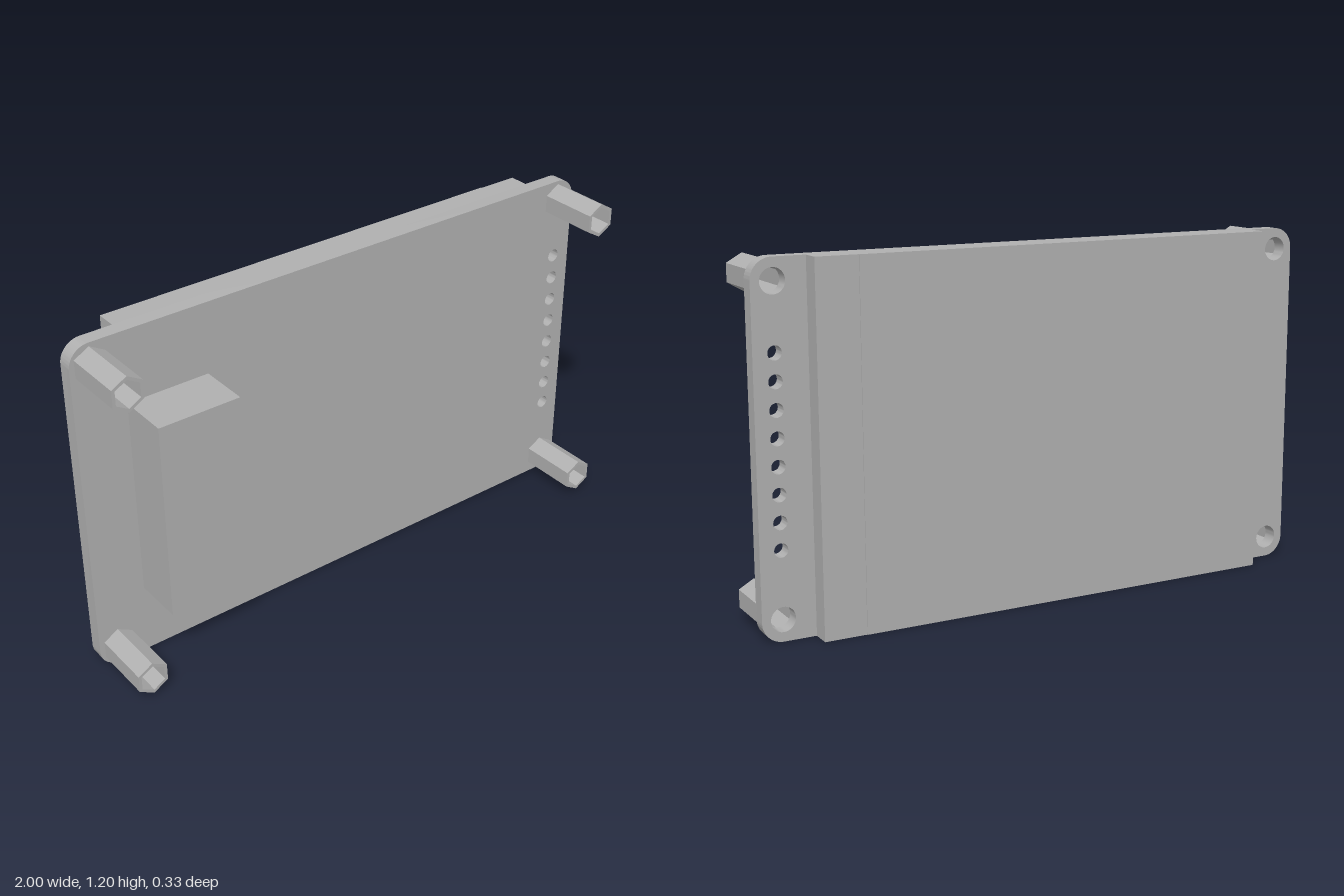
import * as THREE from 'three';
import { toCreasedNormals } from 'three/addons/utils/BufferGeometryUtils.js';

const HEIGHT = 1.196;
const MOUNT_X = 0.93, MOUNT_Y = [0.072, HEIGHT - 0.072];
const BOARD_BACK = -0.096, BOARD_FRONT = -0.045;

const grey = new THREE.MeshStandardMaterial({ color: 0xb0b0b0 });
grey.name = 'plain grey';

function circleHole(x, y, r) {
  return new THREE.Path().absarc(x, y, r, 0, Math.PI * 2, true);
}

// Hexagon with points at top and bottom
function hexPoints(r) {
  return Array.from({ length: 6 }, (_, i) => {
    const a = Math.PI / 2 + i * Math.PI / 3;
    return new THREE.Vector2(r * Math.cos(a), r * Math.sin(a));
  });
}

// Extrude a shape along z between two depths
function slab(shape, z0, z1) {
  const geo = new THREE.ExtrudeGeometry(shape, { depth: z1 - z0, bevelEnabled: false, curveSegments: 16 });
  geo.translate(0, 0, z0);
  return toCreasedNormals(geo, Math.PI / 6);
}

function box(x0, x1, y0, y1, z0, z1) {
  const geo = new THREE.BoxGeometry(x1 - x0, y1 - y0, z1 - z0);
  return geo.translate((x0 + x1) / 2, (y0 + y1) / 2, (z0 + z1) / 2);
}

function boardShape() {
  const r = 0.07, s = new THREE.Shape();
  s.absarc(1 - r, r, r, -Math.PI / 2, 0);
  s.absarc(1 - r, HEIGHT - r, r, 0, Math.PI / 2);
  s.absarc(-1 + r, HEIGHT - r, r, Math.PI / 2, Math.PI);
  s.absarc(-1 + r, r, r, Math.PI, Math.PI * 1.5);
  s.closePath();
  // Mounting holes
  for (const x of [-MOUNT_X, MOUNT_X])
    for (const y of MOUNT_Y) s.holes.push(circleHole(x, y, 0.041));
  // Row of pin holes
  for (let i = 0; i < 8; i++) s.holes.push(circleHole(MOUNT_X, 0.294 + i * 0.0877, 0.023));
  return s;
}

export function createModel() {
  const model = new THREE.Group();
  model.name = 'displayBoard';
  const add = (name, geo) => {
    const mesh = new THREE.Mesh(geo, grey);
    mesh.name = name;
    model.add(mesh);
    return mesh;
  };

  add('circuitBoard', slab(boardShape(), BOARD_BACK, BOARD_FRONT));

  // Screen on the back, with a slightly lower border strip at one end
  add('screenPanel', box(-0.822, 0.68, 0, HEIGHT, -0.167, BOARD_BACK));
  add('screenBorder', box(0.68, 0.822, 0, HEIGHT, -0.164, BOARD_BACK));

  // Connector block on the front
  add('connectorBlock', box(-0.822, -0.534, 0.25, 0.949, BOARD_FRONT, 0.131));

  // Hollow hexagonal standoffs
  const hex = new THREE.Shape(hexPoints(0.06));
  hex.holes.push(new THREE.Path(hexPoints(0.048).reverse()));
  const standoffGeo = slab(hex, BOARD_FRONT, 0.167);
  for (const x of [-MOUNT_X, MOUNT_X])
    for (const y of MOUNT_Y) add('standoff', standoffGeo).position.set(x, y, 0);

  return model;
}
